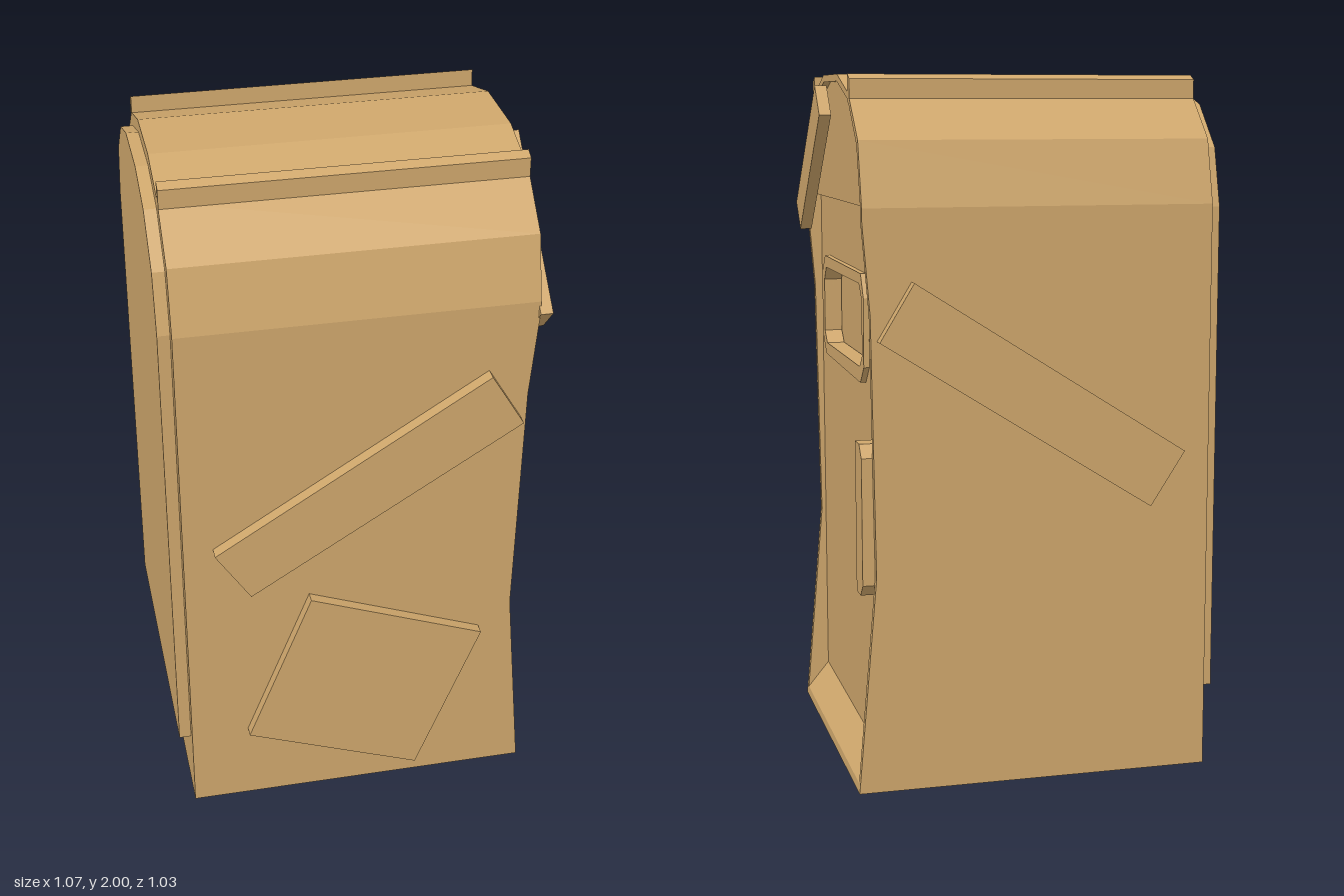
import * as THREE from 'three';

export function createModel() {
  const group = new THREE.Group();
  const tan = new THREE.MeshStandardMaterial({ color: 0xcfa76c });
  tan.name = 'tan';

  const add = (name, geometry) => {
    const mesh = new THREE.Mesh(geometry, tan);
    mesh.name = name;
    group.add(mesh);
    return mesh;
  };
  const toShape = (pts) => new THREE.Shape(pts.map(([a, b]) => new THREE.Vector2(a, b)));
  const slab = (pts, depth, hole) => {
    const shape = toShape(pts);
    if (hole) shape.holes.push(toShape(hole));
    return new THREE.ExtrudeGeometry(shape, { depth, bevelEnabled: false });
  };
  // Plate on the +x side, drawn in (-z, y), between two x positions
  const sidePlate = (name, pts, x0, x1, hole) =>
    add(name, slab(pts, x1 - x0, hole).rotateY(Math.PI / 2).translate(x0, 0, 0));
  // Mirror the right half of an outline (bottom to top) into a closed loop
  const mirrored = (half) => [...half, ...half.map(([u, y]) => [-u, y]).reverse()];

  // Front edge of the body bows in at mid height
  const bow = [[0, 0.525], [0.62, 0.47], [1.35, 0.48], [1.6, 0.5], [3, 0.5]];
  const frontX = (y) => {
    const k = bow.findIndex(([level]) => level > y);
    const [y0, x0] = bow[k - 1], [y1, x1] = bow[k];
    return x0 + (x1 - x0) * (y - y0) / (y1 - y0);
  };

  // Arched outlines: outer wall, inside of rim
  const outer = mirrored([[0.477, 0], [0.477, 0.62], [0.477, 1.35], [0.477, 1.6], [0.477, 1.64],
    [0.43, 1.82], [0.295, 1.945], [0.115, 2]]);
  const inner = mirrored([[0.455, 0.025], [0.455, 0.62], [0.455, 1.35], [0.455, 1.6], [0.455, 1.64],
    [0.41, 1.808], [0.285, 1.928], [0.11, 1.98]]);
  const doorX = 0.457;
  const doorEdge = inner.map(([u, y]) => [u, Math.max(y, 0.105)]);

  // Body shell: wall, rim and sloped recess lofted through four rings
  const rings = [
    outer.map(([u, y]) => [-0.5, y, -u]),
    outer.map(([u, y]) => [frontX(y), y, -u]),
    inner.map(([u, y]) => [frontX(y), y, -u]),
    doorEdge.map(([u, y]) => [doorX, y, -u]),
  ];
  const positions = [];
  for (let r = 0; r < rings.length - 1; r++) {
    const A = rings[r], B = rings[r + 1];
    for (let i = 0; i < A.length; i++) {
      const j = (i + 1) % A.length;
      positions.push(...A[i], ...A[j], ...B[j], ...A[i], ...B[j], ...B[i]);
    }
  }
  const shell = new THREE.BufferGeometry();
  shell.setAttribute('position', new THREE.Float32BufferAttribute(positions, 3));
  shell.computeVertexNormals();
  add('bodyShell', shell);
  add('backWall', new THREE.ShapeGeometry(toShape(outer)).rotateY(-Math.PI / 2).translate(-0.5, 0, 0));

  // Raised arched panel on the -x side
  const backPanel = mirrored([[0.44, 0.225], [0.44, 1.63], [0.395, 1.795], [0.27, 1.915], [0.11, 1.965]]);
  sidePlate('backPanel', backPanel, -0.535, -0.49);

  // Door with a framed, recessed window
  const frameOuter = [[-0.36, 1.21], [-0.3, 1.15], [0.28, 1.14], [0.335, 1.19],
    [0.34, 1.385], [0.3, 1.45], [-0.3, 1.455], [-0.355, 1.4]];
  const frameInner = [[-0.32, 1.22], [-0.28, 1.185], [0.27, 1.185], [0.31, 1.22],
    [0.31, 1.38], [0.27, 1.42], [-0.28, 1.42], [-0.315, 1.38]];
  sidePlate('door', doorEdge, 0.42, doorX, frameInner);
  sidePlate('windowFrame', frameOuter, 0.44, 0.473, frameInner);
  sidePlate('windowPane', frameOuter, 0.4, 0.418);
  sidePlate('upperDoorPanel', inner.filter(([, y]) => y > 1.63), 0.44, 0.48);
  sidePlate('doorHandle', [[0.36, 0.56], [0.42, 0.56], [0.454, 0.595], [0.454, 0.955],
    [0.42, 0.99], [0.36, 0.99]], 0.44, 0.505);

  // Plank nailed across the arch
  sidePlate('archPlank', [[-0.495, 1.61], [-0.42, 1.53], [-0.02, 1.885], [-0.095, 1.97]], 0.495, 0.53);

  // Roof rails
  for (const s of [1, -1]) {
    const pts = [[0.28, 1.92], [0.31, 1.92], [0.31, 1.985], [0.283, 1.998]];
    sidePlate('roofRail', pts.map(([u, y]) => [u * s, y]), -0.5, 0.5);
  }

  // Diagonal planks on both broad walls, square patch on the front one
  const plank = [[-0.415, 0.945], [-0.315, 0.79], [0.462, 1.28], [0.365, 1.44]];
  add('frontPlank', slab(plank, 0.045).translate(0, 0, 0.47));
  add('rearPlank', slab(plank, 0.045).translate(0, 0, -0.515));
  const patch = [[-0.33, 0.26], [0.185, 0.06], [0.375, 0.545], [-0.14, 0.745]];
  add('squarePatch', slab(patch, 0.04).translate(0, 0, 0.47));

  return group;
}
